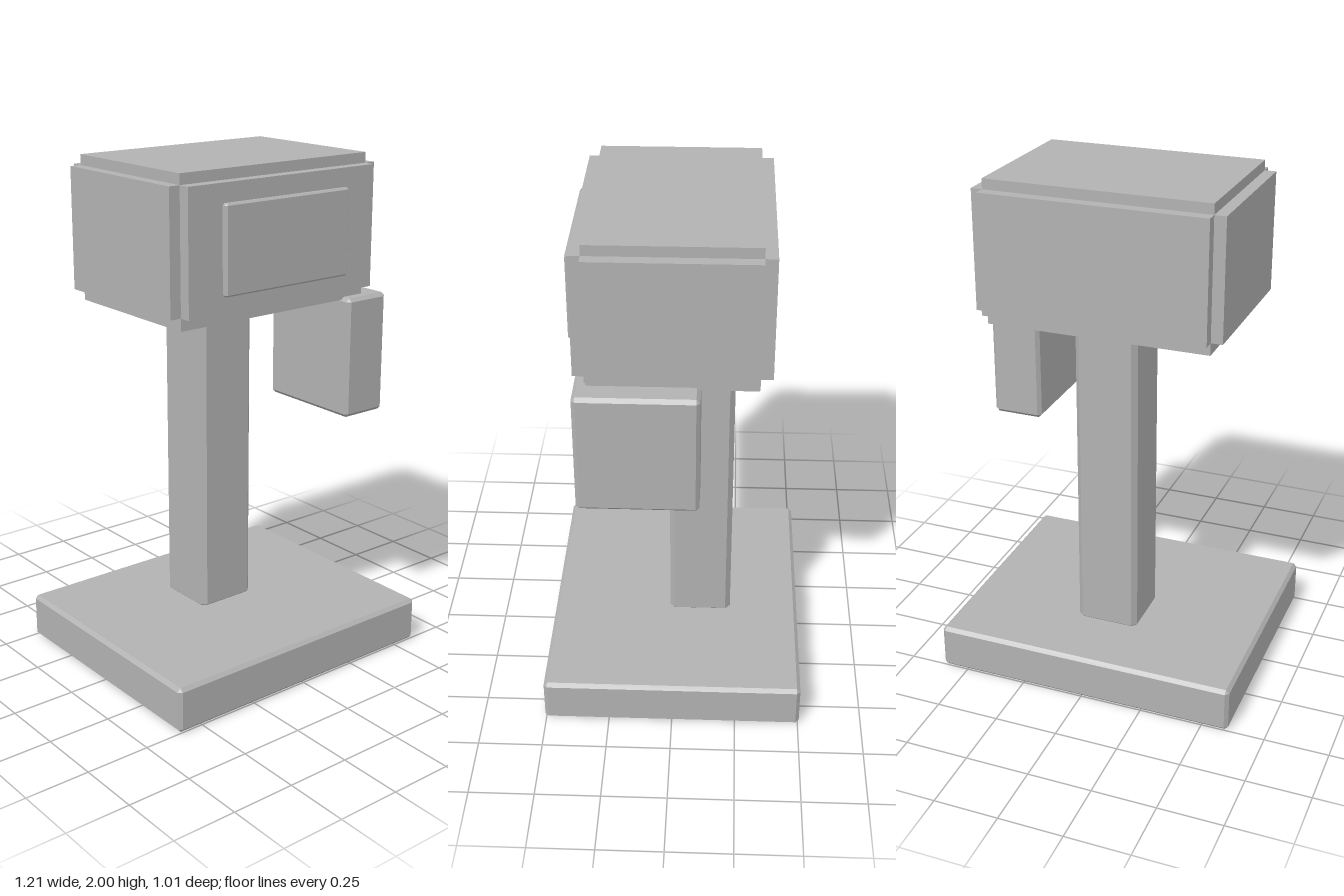
import * as THREE from 'three';
import { ConvexGeometry } from 'three/addons/geometries/ConvexGeometry.js';

const grey = new THREE.MeshStandardMaterial({ color: 0xb2b2b2 });
grey.name = 'plain grey';

// Box with chamfered edges: three corner points per corner, each touching one face
function chamferBox(w, h, d, c) {
  const points = [];
  for (const x of [-w / 2, w / 2])
    for (const y of [-h / 2, h / 2])
      for (const z of [-d / 2, d / 2]) {
        const ix = x - Math.sign(x) * c, iy = y - Math.sign(y) * c, iz = z - Math.sign(z) * c;
        points.push(new THREE.Vector3(x, iy, iz), new THREE.Vector3(ix, y, iz), new THREE.Vector3(ix, iy, z));
      }
  return new ConvexGeometry(points);
}

// Block from its minimum and maximum corners, sharp when chamfer is 0
function block(name, [x0, y0, z0], [x1, y1, z1], chamfer = 0) {
  const size = [x1 - x0, y1 - y0, z1 - z0];
  const geometry = chamfer ? chamferBox(...size, chamfer) : new THREE.BoxGeometry(...size);
  const mesh = new THREE.Mesh(geometry, grey);
  mesh.name = name;
  mesh.position.set((x0 + x1) / 2, (y0 + y1) / 2, (z0 + z1) / 2);
  return mesh;
}

export function createModel() {
  const model = new THREE.Group();
  model.name = 'pedestalTerminal';

  // Stand
  model.add(block('base', [-0.605, 0, -0.505], [0.605, 0.18, 0.505], 0.014));
  model.add(block('column', [-0.125, 0.165, -0.225], [0.125, 1.46, 0.025], 0.02));

  // Head: three crossing blocks leave stepped notches along every edge
  const head = new THREE.Group();
  head.name = 'head';
  head.add(block('headWide', [-0.48, 1.495, -0.307], [0.48, 1.96, 0.307]));
  head.add(block('headDeep', [-0.435, 1.495, -0.353], [0.435, 1.96, 0.353]));
  head.add(block('headTall', [-0.435, 1.447, -0.307], [0.435, 2, 0.307]));
  model.add(head);

  // Front panel and side box
  model.add(block('screen', [-0.29, 1.56, 0.352], [0.29, 1.89, 0.379], 0.007));
  model.add(block('sideBox', [0.328, 0.98, -0.1], [0.528, 1.457, 0.352], 0.014));
  return model;
}
